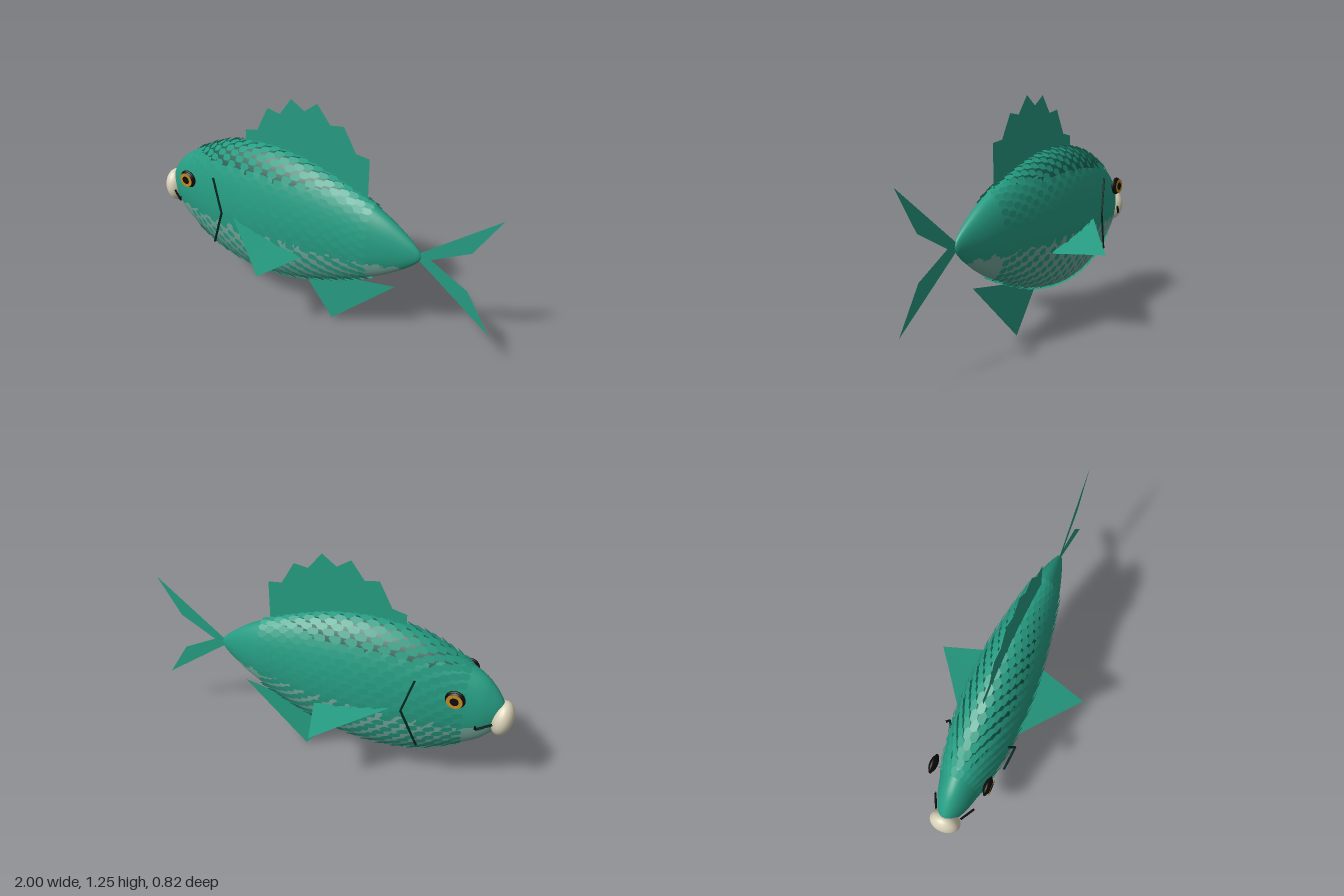
import * as THREE from 'three';
import { mergeGeometries } from 'three/addons/utils/BufferGeometryUtils.js';

const mat = (name, color, side = THREE.FrontSide) => {
  const m = new THREE.MeshStandardMaterial({ color, side });
  m.name = name;
  return m;
};

const MID = 0.583, FLAT = 0.43; // body axis height, width-to-height ratio

// Half height of the body along its length
const profile = new THREE.SplineCurve([
  [-0.95, 0.0], [-0.935, 0.07], [-0.88, 0.15], [-0.8, 0.217], [-0.6, 0.322], [-0.45, 0.366], [-0.3, 0.382],
  [-0.15, 0.373], [0, 0.343], [0.2, 0.275], [0.4, 0.185], [0.52, 0.108], [0.6, 0.04], [0.62, 0.0],
].map(([x, h]) => new THREE.Vector2(x, h))).getPoints(78);

function halfHeight(x) {
  const i = Math.max(1, profile.findIndex(p => p.x >= x));
  const a = profile[i - 1], b = profile[i];
  return a.y + (b.y - a.y) * (x - a.x) / (b.x - a.x);
}

// Spindle body, faces sorted into back, flank and belly groups by height
function bodyGeometry() {
  const pts = profile.map(p => new THREE.Vector2(Math.max(p.y, 0), p.x));
  const g = new THREE.LatheGeometry(pts, 72);
  g.rotateZ(-Math.PI / 2);
  g.scale(1, 1, FLAT);
  g.translate(0, MID, 0);
  const lists = [[], [], []], idx = g.index.array, pos = g.attributes.position;
  for (let i = 0; i < idx.length; i += 3) {
    const t = [idx[i], idx[i + 1], idx[i + 2]];
    const y = t.reduce((s, k) => s + pos.getY(k), 0) / 3;
    const x = t.reduce((s, k) => s + pos.getX(k), 0) / 3;
    const wave = 0.012 * Math.sin(x * 73);
    lists[y + wave > 0.84 ? 0 : y + wave < 0.5 ? 2 : 1].push(...t);
  }
  g.setIndex(lists.flat());
  let start = 0;
  lists.forEach((l, m) => { g.addGroup(start, l.length, m); start += l.length; });
  return g;
}

// Staggered rings of hexagonal scales, lifted at the trailing end
function scalesGeometry() {
  const parts = [], rings = 26, perRing = 26;
  const T = new THREE.Vector3(), B = new THREE.Vector3(), N = new THREE.Vector3();
  for (let r = 0; r < rings; r++) {
    const x = -0.74 + r * 0.0428, h = halfHeight(x);
    const slope = (halfHeight(x + 0.01) - halfHeight(x - 0.01)) / 0.02;
    const size = 0.75 + 0.25 * h / 0.382;
    for (let i = 0; i < perRing; i++) {
      const a = (i + (r % 2) / 2) / perRing * Math.PI * 2;
      const y = h * Math.sin(a), z = FLAT * h * Math.cos(a);
      N.set(-h * slope, y, z / (FLAT * FLAT)).normalize();
      T.set(1, 0, 0).addScaledVector(N, -N.x).normalize();
      B.crossVectors(N, T);
      const g = new THREE.CircleGeometry(1, 6);
      g.scale(0.038 * size, 0.021 * size, 1);
      g.rotateY(-0.2);
      g.translate(0, 0, 0.005);
      g.applyMatrix4(new THREE.Matrix4().makeBasis(T, B, N).setPosition(x, MID + y, z));
      parts.push(g);
    }
  }
  return mergeGeometries(parts);
}

const flatFin = pts => new THREE.ShapeGeometry(new THREE.Shape(pts.map(p => new THREE.Vector2(...p))));

// Thin round line through straight segments
function lineGeometry(pts, radius) {
  const path = new THREE.CurvePath();
  const v = pts.map(p => new THREE.Vector3(...p));
  for (let i = 1; i < v.length; i++) path.add(new THREE.LineCurve3(v[i - 1], v[i]));
  return new THREE.TubeGeometry(path, 24, radius, 6, false);
}

export function createModel() {
  const fish = new THREE.Group();
  fish.name = 'fish';
  const teal = mat('teal', 0x269c82);
  const finTeal = mat('finTeal', 0x269c82, THREE.DoubleSide);
  const darkTeal = mat('darkTeal', 0x115c4c);
  const belly = mat('bellyGrey', 0x76aa9e);
  const cream = mat('cream', 0xd8d1b8);
  const black = mat('black', 0x0c0c0a);
  const gold = mat('gold', 0xc48a22);
  const gillGreen = mat('gillGreen', 0x062a22);
  const add = (name, geo, material, parent = fish) => {
    const m = new THREE.Mesh(geo, material);
    m.name = name;
    parent.add(m);
    return m;
  };

  add('body', bodyGeometry(), [darkTeal, teal, belly]);
  add('scales', scalesGeometry(), finTeal);

  // Rounded lips
  const lips = add('lips', new THREE.SphereGeometry(1, 32, 20), cream);
  lips.scale.set(0.056, 0.096, 0.079);
  lips.position.set(-0.94, 0.553, 0);
  lips.rotation.z = 0.1;

  // Fins on the centre plane
  add('dorsalFin', flatFin([
    [-0.42, 0.88], [0.315, 0.76], [0.315, 1.035], [0.24, 1.045], [0.17, 1.17], [0.095, 1.16], [0.02, 1.255],
    [-0.055, 1.2], [-0.13, 1.25], [-0.2, 1.155], [-0.275, 1.17], [-0.345, 1.035], [-0.42, 1.02],
  ]), finTeal);
  add('bellyFin', flatFin([[-0.08, 0.26], [0.12, 0.005], [0.49, 0.355], [0.1, 0.29]]), finTeal);
  add('tailFin', flatFin([
    [0.57, 0.585], [0.61, 0.56], [1, 0.263], [0.87, 0.475], [0.67, 0.585], [0.87, 0.692], [1, 0.907], [0.61, 0.605],
  ]), finTeal);

  // Paired parts
  for (const s of [1, -1]) {
    const side = s > 0 ? 'Front' : 'Back';

    // Side fin, folded across the middle
    const A = [-0.44, 0.575, 0.14], M = [-0.185, 0.5, 0.13], P = [-0.185, 0.49, 0.33];
    const tip = [-0.08, 0.455, 0.412], C = [0.015, 0.445, 0.12];
    const fin = new THREE.BufferGeometry();
    const tris = [A, P, M, M, P, tip, M, tip, C];
    if (s < 0) tris.reverse();
    fin.setAttribute('position', new THREE.Float32BufferAttribute(
      tris.flatMap(([x, y, z]) => [x, y, z * s]), 3));
    fin.computeVertexNormals();
    add('sideFin' + side, fin, finTeal);

    add('gillLine' + side, lineGeometry(
      [[-0.528, 0.778, 0.164 * s], [-0.473, 0.585, 0.181 * s], [-0.56, 0.363, 0.152 * s]], 0.006), gillGreen);
    add('mouthLine' + side, lineGeometry(
      [[-0.905, 0.548, 0.066 * s], [-0.832, 0.525, 0.106 * s], [-0.832, 0.553, 0.108 * s]], 0.006), black);

    // Eye: dark rim, gold iris, pupil
    const eye = new THREE.Group();
    eye.name = 'eye' + side;
    eye.position.set(-0.725, 0.707, 0.143 * s);
    if (s < 0) eye.rotation.y = Math.PI;
    fish.add(eye);
    add('eyeBall', new THREE.SphereGeometry(1, 24, 16), black, eye).scale.set(0.044, 0.044, 0.02);
    add('eyeRim', new THREE.TorusGeometry(0.043, 0.007, 8, 32), black, eye);
    add('iris', new THREE.RingGeometry(0.021, 0.04, 32), gold, eye).position.z = 0.0195;
    add('pupil', new THREE.CircleGeometry(0.022, 24), black, eye).position.z = 0.0205;
  }
  return fish;
}
